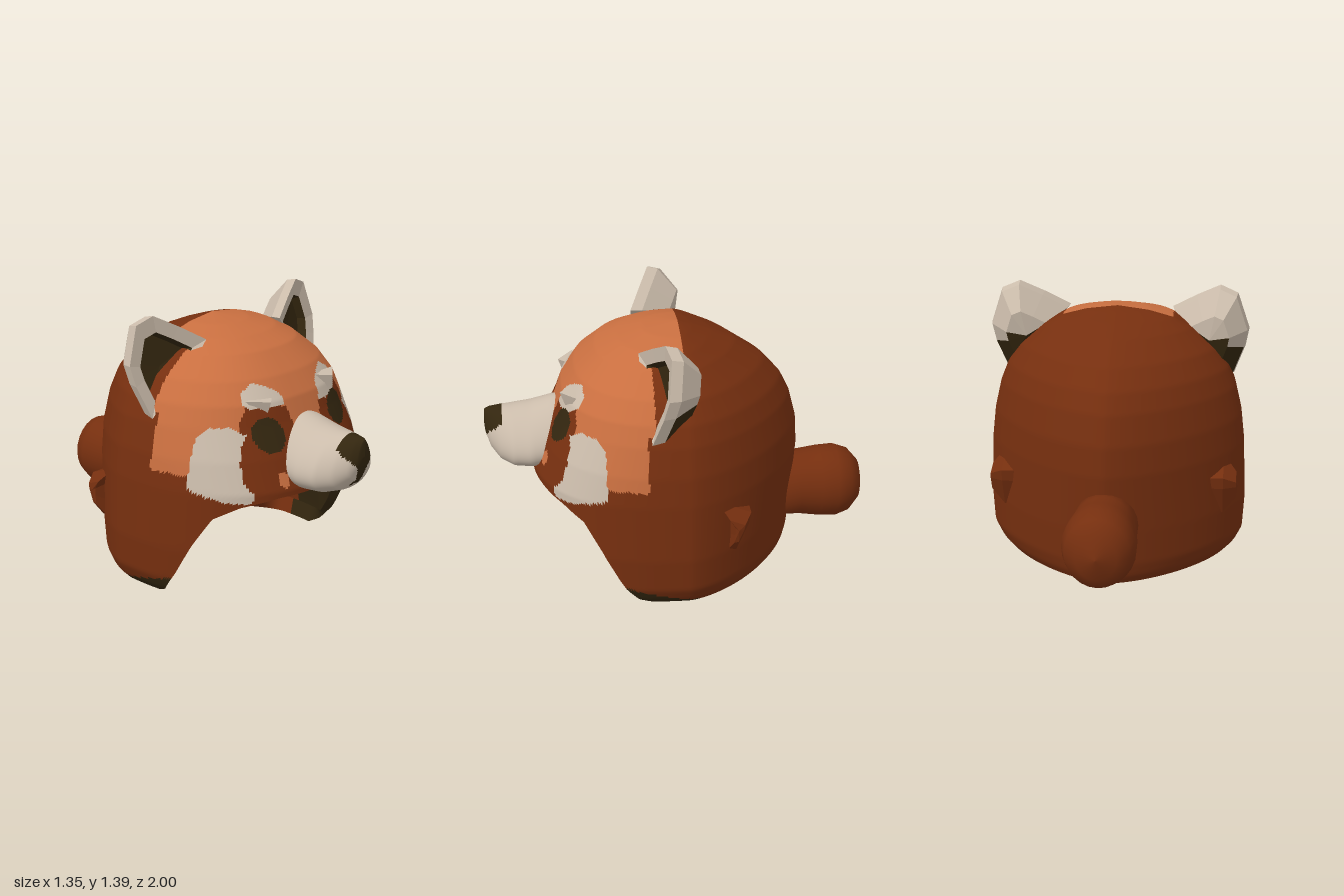
import * as THREE from 'three';

const mat = (name, color) => Object.assign(new THREE.MeshStandardMaterial({ color }), { name });
const BROWN = 0, ORANGE = 1, CREAM = 2, DARK = 3;

// Skin a list of closed rings; colour(centre, row) picks the material of each face
function loft(name, mats, rings, colour, flat = false) {
  const n = rings[0].length, pos = rings.flat(2), buckets = mats.map(() => []);
  for (let i = 0; i < rings.length - 1; i++) {
    for (let j = 0; j < n; j++) {
      const k = (j + 1) % n;
      const q = [rings[i][j], rings[i][k], rings[i + 1][k], rings[i + 1][j]];
      const c = [0, 1, 2].map(a => (q[0][a] + q[1][a] + q[2][a] + q[3][a]) / 4);
      const A = i * n + j, B = i * n + k, C = B + n, D = A + n;
      buckets[colour(c, i)].push(A, B, C, A, C, D);
    }
  }
  let geo = new THREE.BufferGeometry();
  geo.setAttribute('position', new THREE.Float32BufferAttribute(pos, 3));
  geo.setIndex(buckets.flat());
  let start = 0;
  buckets.forEach((b, m) => {
    if (b.length) geo.addGroup(start, b.length, m);
    start += b.length;
  });
  if (flat) geo = geo.toNonIndexed();
  geo.computeVertexNormals();
  const mesh = new THREE.Mesh(geo, mats);
  mesh.name = name;
  return mesh;
}

// Linear lookup in rows sorted by their first value
function lookup(table, v) {
  if (v <= table[0][0]) return table[0].slice(1);
  for (let i = 1; i < table.length; i++) {
    const a = table[i - 1], b = table[i];
    if (v <= b[0]) return a.slice(1).map((s, k) => s + (b[k + 1] - s) * (v - a[0]) / (b[0] - a[0]));
  }
  return table[table.length - 1].slice(1);
}

function inside(poly, x, y) {
  let hit = false;
  for (let i = 0, j = poly.length - 1; i < poly.length; j = i++) {
    const [xi, yi] = poly[i], [xj, yj] = poly[j];
    if ((yi > y) !== (yj > y) && x < (xj - xi) * (y - yi) / (yj - yi) + xi) hit = !hit;
  }
  return hit;
}

// Hood: height, half width, front depth, back depth
const HOOD = [
  [0, 0.58, 0.7, 0.55], [0.05, 0.63, 0.72, 0.58], [0.12, 0.665, 0.74, 0.595], [0.3, 0.675, 0.76, 0.61],
  [0.6, 0.662, 0.76, 0.63], [0.75, 0.645, 0.705, 0.62], [0.9, 0.61, 0.635, 0.58], [1, 0.57, 0.6, 0.53],
  [1.1, 0.5, 0.53, 0.44], [1.2, 0.38, 0.42, 0.29], [1.25, 0.29, 0.31, 0.17], [1.285, 0.16, 0.18, 0.07],
  [1.305, 0.0005, 0.0005, 0.0005]];
// Height of the lower edge along z
const EDGE = [[0.22, 0.01], [0.27, 0.04], [0.35, 0.17], [0.43, 0.33], [0.52, 0.48], [0.62, 0.54], [0.72, 0.57]];

// Point at angle a on a cross-section
function sectionPoint(a, y, [w, f, b], backPower) {
  const s = Math.sin(a), c = Math.cos(a), n = c > 0 ? 2.4 : backPower;
  const r = (Math.pow(Math.abs(s) / w, n) + Math.pow(Math.abs(c) / (c > 0 ? f : b), n)) ** (-1 / n);
  return [r * s, y, r * c];
}
const hoodPoint = (a, y) => sectionPoint(a, y, lookup(HOOD, y), 1.5);

// The lining gets thicker away from the edge and ends at a back wall near the middle
function liningPoint(a, y, t) {
  const [w, f, b] = lookup(HOOD, y + 0.1), inset = 0.06 + 0.1 * Math.min(1, t * 4);
  return sectionPoint(a, y, [w - inset, f - inset * 0.7, b * 0.22].map(d => Math.max(d, 0.0005)), 2.6);
}

function hoodRings(cols, rows, lining) {
  const rings = [], top = lining ? 1.205 : 1.305;
  for (let i = 0; i <= rows; i++) {
    const ring = [], t = i / rows;
    for (let j = 0; j < cols; j++) {
      const a = j / cols * Math.PI * 2;
      let edge = lookup(EDGE, hoodPoint(a, 0.4)[2])[0];
      if (lining) edge = Math.max(edge, 0.09) + 0.01;
      const y = edge + (top - edge) * Math.sin(t * Math.PI / 2);
      ring.push(lining ? liningPoint(a, y, t) : hoodPoint(a, y));
    }
    rings.push(ring);
  }
  return rings;
}

// Face markings on one half, mirrored by |x|
const CHEEK = [[0.36, 0.87], [0.42, 0.91], [0.49, 0.905], [0.56, 0.83], [0.61, 0.73], [0.61, 0.67],
  [0.58, 0.6], [0.5, 0.565], [0.41, 0.555], [0.39, 0.59], [0.43, 0.66], [0.42, 0.75], [0.4, 0.81]];
const BROW = [[0.12, 0.95], [0.13, 1.03], [0.19, 1.07], [0.25, 1.09], [0.32, 1.05], [0.335, 1], [0.28, 0.96], [0.18, 0.94]];
const MASK = [[-0.01, 0.4], [0.46, 0.4], [0.46, 0.85], [0.38, 0.89], [0.37, 0.93], [0.32, 1], [0.12, 0.97], [0.1, 0.88], [-0.01, 0.86]];
const NOSE = [[-0.01, 0.89], [0.06, 0.88], [0.105, 0.84], [0.1, 0.79], [0.04, 0.725], [0.018, 0.66], [0.04, 0.62], [-0.01, 0.63]];

function hoodColour([px, y, z]) {
  const x = Math.abs(px);
  if (z > 0.2 && y > 0.5) {
    if (Math.hypot(x - 0.255, y - (px < 0 ? 0.857 : 0.878)) < 0.082) return DARK;
    if (z > 0.4 && inside(CHEEK, x, y)) return CREAM;
    if ((px > 0 || y > 0.98) && inside(BROW, x, y)) return CREAM;
    if (Math.hypot((x - 0.245) / 0.03, (y - (px < 0 ? 0.65 : 0.69)) / 0.038) < 1) return ORANGE;
    if (inside(MASK, x, y)) return BROWN;
  }
  // Dark trim on the lower front corners
  if (z > -0.1 && z < 0.4 && y < Math.min(0.14, 0.05 + 0.3 * (z - 0.05))) return DARK;
  return y > 0.68 && z > (x < 0.28 ? 0 : y > 0.95 ? 0.16 : 0.2) ? ORANGE : BROWN;
}

// Muzzle: z, half width, bottom, top
function muzzle(mats) {
  const table = [[0.5, 0.2, 0.58, 0.93], [0.65, 0.21, 0.58, 0.915], [0.76, 0.22, 0.57, 0.885], [0.85, 0.2, 0.575, 0.875],
    [0.92, 0.145, 0.6, 0.873], [0.97, 0.085, 0.66, 0.87], [0.995, 0.04, 0.74, 0.86], [1, 0.0005, 0.8, 0.801]];
  const rings = [];
  for (let i = 0; i <= 50; i++) {
    const z = 0.5 + 0.5 * Math.sin(i / 50 * Math.PI / 2), [w, lo, hi] = lookup(table, z);
    rings.push(Array.from({ length: 72 }, (_, j) => {
      const a = j / 72 * Math.PI * 2, s = Math.sin(a);
      return [w * Math.cos(a) * (1 - 0.2 * s), (lo + hi) / 2 - 0.02 * (1 - s * s) + (hi - lo) / 2 * s, z];
    }));
  }
  return loft('muzzle', mats, rings, ([x, y, z]) => z > 0.9 && inside(NOSE, Math.abs(x), y) ? DARK : CREAM);
}

// Cupped ear with a dark hollow; s is +1 or -1
function ear(mats, s) {
  const outline = [[0.6, 0.92], [0.655, 1.08], [0.672, 1.18], [0.61, 1.365], [0.52, 1.4], [0.4, 1.335], [0.27, 1.255], [0.38, 1.12], [0.5, 1.02]];
  const ring = (k, dz) => {
    const pts = outline.map(([x, y]) => {
      const px = 0.47 + (x - 0.47) * k, py = 1.14 + (y - 1.14) * k;
      return [s * px, py, 0.23 - 0.32 * (px - 0.3) - 0.2 * (py - 1.15) + dz];
    });
    return s > 0 ? pts : pts.reverse();
  };
  const rings = [ring(0.0005, -0.21), ring(0.5, -0.19), ring(0.95, -0.06), ring(1, 0), ring(0.68, -0.02), ring(0.6, -0.07), ring(0.0005, -0.08)];
  return loft(s > 0 ? 'leftEar' : 'rightEar', mats, rings, ([x, y], i) => {
    if (i >= 4) return DARK;
    return i < 2 && y < 1.17 && (Math.abs(x) - 0.28) * 0.72 + (y - 1.25) * 0.7 < 0.11 ? DARK : CREAM;
  }, true);
}

// Small crescent fin on the side of the hood
function fin(mats, s) {
  const outline = [[-0.14, 0.57], [-0.2, 0.47], [-0.2, 0.38], [-0.19, 0.28], [-0.24, 0.29], [-0.3, 0.44], [-0.31, 0.5]];
  const ring = (x, k) => {
    const pts = outline.map(([z, y]) => [s * x, 0.44 + (y - 0.44) * k, -0.24 + (z + 0.24) * k]);
    return s > 0 ? pts : pts.reverse();
  };
  const rings = [ring(0.45, 1), ring(0.565, 1), ring(0.63, 0.45), ring(0.638, 0.0005)];
  return loft(s > 0 ? 'leftFin' : 'rightFin', mats, rings, () => BROWN, true);
}

export function createModel() {
  const group = new THREE.Group();
  const mats = [mat('russet brown', 0x762f0f), mat('orange fur', 0xc96f40), mat('cream fur', 0xcbbcab), mat('dark olive', 0x33260f)];

  // Hood: outside, lower edge and lining
  const outer = hoodRings(360, 120, false), inner = hoodRings(360, 20, true);
  group.add(loft('hood', mats, outer, hoodColour));
  group.add(loft('hoodEdge', mats, [inner[0], outer[0]], ([x, y, z]) => z > 0.05 && y < 0.57 && Math.abs(x) > 0.28 ? DARK : BROWN));
  group.add(loft('hoodLining', mats, inner.reverse(), ([, y, z]) => z > 0.1 && y < 0.35 ? DARK : BROWN));

  group.add(muzzle(mats));

  for (const s of [1, -1]) {
    group.add(ear(mats, s), fin(mats, s));
    // Pointed tuft on the brow
    const tuft = new THREE.Mesh(new THREE.ConeGeometry(0.11, 0.07, 3).rotateX(Math.PI / 2).toNonIndexed(), mats[CREAM]);
    tuft.geometry.computeVertexNormals();
    tuft.scale.y = 0.7;
    tuft.rotation.x = -0.4;
    tuft.position.set(s * 0.23, s > 0 ? 1.03 : 1, 0.575);
    tuft.name = s > 0 ? 'leftBrowTuft' : 'rightBrowTuft';
    group.add(tuft);
  }

  // Stubby tail, and its rounded root inside the hood
  const profile = [[0, 0.45], [0.18, 0.5], [0.18, 0.65], [0.195, 0.76], [0.2, 0.85], [0.175, 0.92], [0.11, 0.975], [0, 1]];
  const tail = new THREE.Mesh(
    new THREE.LatheGeometry(profile.map(p => new THREE.Vector2(...p)), 24).rotateX(-Math.PI / 2), mats[BROWN]);
  tail.scale.x = 0.9;
  tail.position.y = 0.335;
  tail.name = 'tail';
  const root = new THREE.Mesh(new THREE.SphereGeometry(0.175, 24, 16), mats[BROWN]);
  root.position.set(0, 0.39, -0.14);
  root.name = 'tailRoot';
  group.add(tail, root);
  return group;
}
